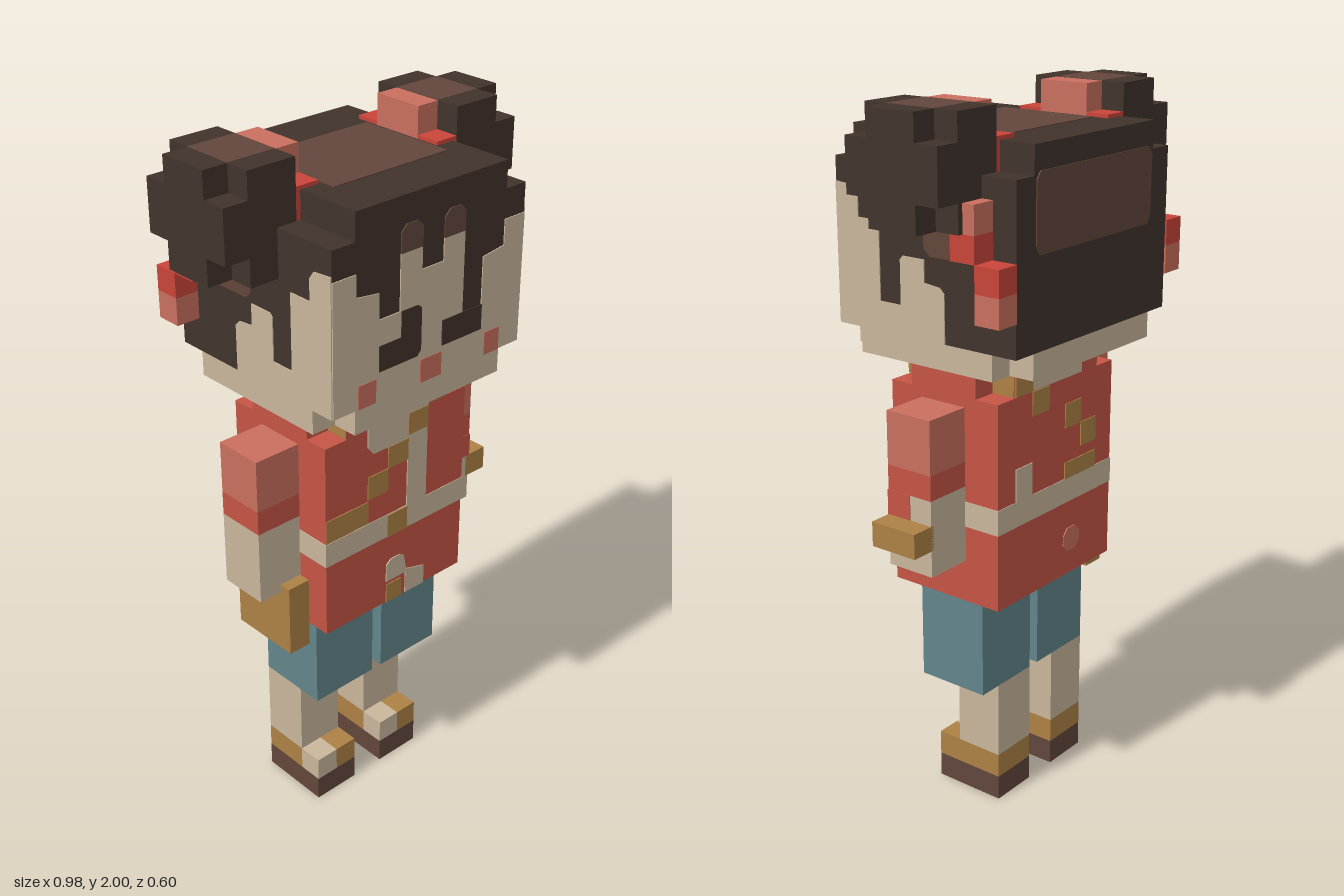
import * as THREE from 'three';

const mat = (name, color) => {
  const m = new THREE.MeshStandardMaterial({ color });
  m.name = name;
  return m;
};

export function createModel() {
  const hair = mat('dark hair', 0x41332c), brown = mat('brown', 0x62463c);
  const skin = mat('skin', 0xc9b69c), red = mat('shirt red', 0xc55545);
  const ribbon = mat('ribbon red', 0xc94539), rose = mat('rose', 0xc96f5e);
  const gold = mat('gold', 0xad8145), teal = mat('shorts teal', 0x62858a);

  const model = new THREE.Group();
  model.name = 'figure';
  const group = (name) => {
    const g = new THREE.Group();
    g.name = name;
    model.add(g);
    return g;
  };

  // Box given by its limits on each axis
  const box = (parent, name, m, [x0, x1], [y0, y1], [z0, z1]) => {
    const mesh = new THREE.Mesh(new THREE.BoxGeometry(Math.abs(x1 - x0), y1 - y0, z1 - z0), m);
    mesh.position.set((x0 + x1) / 2, (y0 + y1) / 2, (z0 + z1) / 2);
    mesh.name = name;
    parent.add(mesh);
  };

  // Thin painted plate; points are (x, y) on front and back, (z, y) on the sides
  const faces = {
    front: { turn: 0, flip: 1 }, back: { turn: Math.PI, flip: -1 },
    left: { turn: Math.PI / 2, flip: -1 }, right: { turn: -Math.PI / 2, flip: 1 },
  };
  const plate = (parent, name, m, face, at, pts, depth = 0.003) => {
    const { turn, flip } = faces[face];
    const shape = new THREE.Shape(pts.map(([u, v]) => new THREE.Vector2(u * flip, v)));
    const geo = new THREE.ExtrudeGeometry(shape, { depth, bevelEnabled: false });
    geo.translate(0, 0, at).rotateY(turn);
    const mesh = new THREE.Mesh(geo, m);
    mesh.name = name;
    parent.add(mesh);
  };
  const rect = (u0, u1, v0, v1) => [[u0, v0], [u1, v0], [u1, v1], [u0, v1]];

  // Head with stepped top and notched lower corners
  const head = group('head');
  box(head, 'hairCap', hair, [-0.257, 0.257], [1.84, 1.915], [-0.29, 0.295]);
  box(head, 'hairBlock', hair, [-0.33, 0.327], [1.4, 1.84], [-0.29, 0.295]);
  box(head, 'jawWide', skin, [-0.33, 0.327], [1.33, 1.4], [-0.215, 0.222]);
  box(head, 'jawDeep', skin, [-0.257, 0.257], [1.33, 1.4], [-0.29, 0.295]);
  box(head, 'neck', skin, [-0.11, 0.11], [1.3, 1.34], [-0.1, 0.115]);

  // Face below the fringe
  plate(head, 'face', skin, 'front', 0.295, [
    [-0.33, 1.4], [0.327, 1.4], [0.327, 1.76], [0.255, 1.76], [0.255, 1.69], [0.18, 1.68],
    [0.18, 1.48], [0.11, 1.48], [0.11, 1.77], [0.037, 1.77], [0.037, 1.71], [-0.037, 1.71],
    [-0.037, 1.77], [-0.11, 1.77], [-0.11, 1.62], [-0.18, 1.62], [-0.18, 1.69],
    [-0.255, 1.7], [-0.255, 1.76], [-0.33, 1.76]]);
  plate(head, 'rightEye', hair, 'front', 0.297, [
    [-0.18, 1.48], [-0.05, 1.48], [-0.037, 1.495], [-0.037, 1.61], [-0.05, 1.62],
    [-0.106, 1.62], [-0.106, 1.55], [-0.18, 1.55]]);
  plate(head, 'leftEye', hair, 'front', 0.297, rect(0.037, 0.18, 1.48, 1.55));
  for (const [x0, x1] of [[-0.25, -0.19], [-0.037, 0.037], [0.195, 0.25]]) {
    plate(head, 'blush', rose, 'front', 0.297, rect(x0, x1, 1.4, 1.465));
  }
  for (const x of [-0.11, 0.037]) {
    plate(head, 'fringeShine', brown, 'front', 0.296,
      [[x, 1.77], [x + 0.073, 1.77], [x + 0.073, 1.825], [x + 0.055, 1.842], [x + 0.018, 1.842], [x, 1.825]]);
  }

  // Temples and hair shine
  for (const [face, at] of [['left', 0.327], ['right', 0.33]]) {
    plate(head, 'temple', skin, face, at, [
      [0.295, 1.4], [-0.065, 1.4], [-0.065, 1.53], [-0.05, 1.545], [0, 1.55], [0, 1.61],
      [0.07, 1.61], [0.08, 1.6], [0.08, 1.48], [0.15, 1.48], [0.15, 1.69],
      [0.22, 1.69], [0.22, 1.75], [0.235, 1.77], [0.295, 1.775]]);
    plate(head, 'sideShine', brown, face, at,
      [[0, 1.64], [-0.02, 1.62], [-0.15, 1.62], [-0.15, 1.77], [0, 1.77]]);
  }
  plate(head, 'backShine', brown, 'back', 0.29, [
    [-0.25, 1.67], [-0.235, 1.645], [0.235, 1.645], [0.25, 1.67],
    [0.25, 1.83], [0.235, 1.85], [-0.235, 1.85], [-0.25, 1.83]]);
  box(head, 'topShine', brown, [-0.19, 0.19], [1.914, 1.918], [-0.145, 0.15]);

  // Hair buns, ties and hanging ribbons
  for (const s of [-1, 1]) {
    const bun = group(s > 0 ? 'leftBun' : 'rightBun');
    const X = (a, b) => [s * a, s * b];
    box(bun, 'bunInner', hair, X(0.27, 0.415), [1.71, 2], [-0.185, 0.105]);
    box(bun, 'bunOuterUpright', hair, X(0.415, 0.488), [1.71, 2], [-0.115, 0.035]);
    box(bun, 'bunOuterLevel', hair, X(0.415, 0.488), [1.785, 1.928], [-0.185, 0.105]);
    box(bun, 'bunShine', brown, X(0.272, 0.415), [1.997, 2.001], [-0.115, 0.035]);
    box(bun, 'tieMiddle', rose, X(0.2, 0.27), [1.75, 2], [-0.115, 0.035]);
    box(bun, 'tieEnds', ribbon, X(0.2, 0.27), [1.785, 1.925], [-0.185, 0.105]);
    box(bun, 'ribbonTop', rose, X(0.32, 0.4), [1.71, 1.785], [-0.22, -0.145]);
    box(bun, 'ribbonUpper', ribbon, X(0.32, 0.4), [1.64, 1.71], [-0.22, -0.145]);
    box(bun, 'ribbonLower', ribbon, X(0.33, 0.4), [1.57, 1.64], [-0.295, -0.22]);
    box(bun, 'ribbonTip', rose, X(0.33, 0.4), [1.493, 1.57], [-0.295, -0.22]);
  }

  // Tunic with notched shoulders and a belt all around
  const torso = group('torso');
  box(torso, 'tunic', red, [-0.258, 0.255], [0.66, 1.243], [-0.176, 0.185]);
  box(torso, 'shoulderWide', red, [-0.258, 0.255], [1.243, 1.315], [-0.103, 0.115]);
  box(torso, 'shoulderDeep', red, [-0.185, 0.182], [1.243, 1.315], [-0.176, 0.185]);
  box(torso, 'belt', skin, [-0.26, 0.257], [0.88, 0.952], [-0.178, 0.187]);
  for (const s of [-1, 1]) {
    for (const z of [[-0.174, -0.104], [0.116, 0.183]]) {
      box(torso, 'shoulderTrim', gold, [s * 0.18, s * 0.186], [1.244, 1.314], z);
    }
  }

  // Front painting
  plate(torso, 'collar', skin, 'front', 0.185, [
    [-0.11, 1.19], [-0.09, 1.165], [0.037, 1.165], [0.037, 0.94], [0.11, 0.94],
    [0.11, 1.315], [-0.11, 1.315]]);
  for (const r of [[0.11, 0.182, 1.245, 1.315], [0.037, 0.11, 1.175, 1.24], [-0.037, 0.037, 1.1, 1.165],
    [-0.11, -0.037, 1.03, 1.1], [-0.258, -0.11, 0.957, 1.025], [-0.037, 0.037, 0.88, 0.95]]) {
    plate(torso, 'frontTrim', gold, 'front', 0.187, rect(...r));
  }
  plate(torso, 'skirtPatch', skin, 'front', 0.185, [
    [-0.037, 0.73], [0.037, 0.73], [0.037, 0.66], [0.11, 0.66], [0.11, 0.72], [0.04, 0.74],
    [0.03, 0.79], [0.015, 0.8], [-0.02, 0.8], [-0.037, 0.785]]);
  plate(torso, 'skirtTrim', gold, 'front', 0.186, rect(-0.037, 0.02, 0.66, 0.72));

  // Back painting
  plate(torso, 'backCollar', skin, 'back', 0.176, rect(-0.11, 0.11, 1.245, 1.315));
  for (const r of [[0.11, 0.182, 1.245, 1.315], [0.037, 0.11, 1.175, 1.243], [-0.11, -0.037, 1.1, 1.17],
    [-0.18, -0.11, 1.03, 1.1], [-0.18, -0.037, 0.952, 1.0]]) {
    plate(torso, 'backTrim', gold, 'back', 0.177, rect(...r));
  }
  plate(torso, 'backPatch', skin, 'back', 0.176, rect(0.11, 0.18, 0.95, 1.045));
  plate(torso, 'backSpot', rose, 'back', 0.176,
    [[-0.11, 0.75], [-0.09, 0.73], [-0.055, 0.73], [-0.037, 0.75], [-0.037, 0.78], [-0.055, 0.8], [-0.09, 0.8], [-0.11, 0.78]]);

  // Arms
  const armZ = [-0.066, 0.08];
  for (const [name, x] of [['rightArm', [-0.4, -0.258]], ['leftArm', [0.255, 0.395]]]) {
    const arm = group(name);
    box(arm, 'sleeve', rose, x, [1.065, 1.215], armZ);
    box(arm, 'cuff', ribbon === red ? ribbon : red, x, [0.995, 1.065], armZ);
    box(arm, 'hand', skin, x, [0.78, 0.995], armZ);
  }
  box(model, 'leftCuffPatch', red, [0.325, 0.397], [0.925, 0.995], [0.005, 0.082]);

  // Held items
  box(model, 'leftHandItem', gold, [0.385, 0.462], [0.855, 0.925], armZ);
  box(model, 'rightHandItem', gold, [-0.33, -0.26], [0.59, 0.805], [-0.102, 0.115]);

  // Legs and shoes, both shins set to the same side
  for (const [name, x] of [['rightLeg', -0.235], ['leftLeg', 0.015]]) {
    const leg = group(name);
    const foot = [x, x + 0.145];
    box(leg, 'shorts', teal, [x, x + 0.215], [0.37, 0.66], [-0.102, 0.115]);
    box(leg, 'shin', skin, foot, [0.145, 0.37], [-0.102, 0.042]);
    box(leg, 'sole', brown, foot, [0, 0.073], [-0.102, 0.115]);
    box(leg, 'shoeHeel', gold, foot, [0.073, 0.145], [-0.102, 0.042]);
    box(leg, 'shoeToe', gold, [x + 0.073, x + 0.145], [0.073, 0.145], [0.042, 0.115]);
    box(leg, 'bareToe', skin, [x, x + 0.073], [0.073, 0.145], [0.042, 0.115]);
  }
  return model;
}
